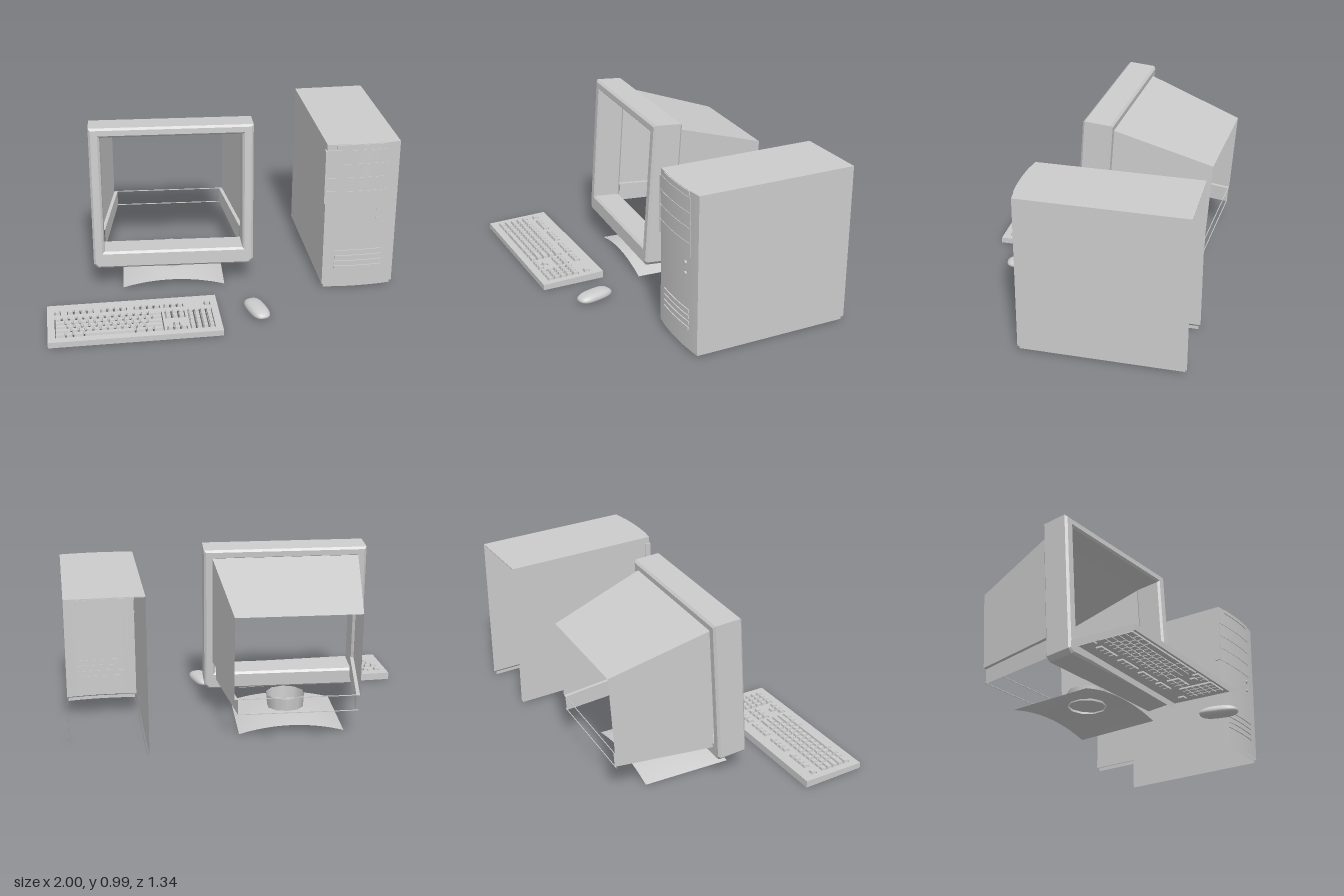
import * as THREE from 'three';
import { mergeGeometries } from 'three/addons/utils/BufferGeometryUtils.js';

const grey = new THREE.MeshStandardMaterial({ color: 0xcccccc, side: THREE.DoubleSide });

function part(parent, name, geometry) {
  const mesh = new THREE.Mesh(geometry, grey);
  mesh.name = name;
  parent.add(mesh);
  return mesh;
}

function group(parent, name) {
  const g = new THREE.Group();
  g.name = name;
  parent.add(g);
  return g;
}

// open sheet through a list of equal-length cross-sections of [x, y, z] points
function loft(sections, smooth = false) {
  const n = sections[0].length, index = [];
  for (let s = 0; s < sections.length - 1; s++)
    for (let i = 0; i < n - 1; i++) {
      const a = s * n + i, b = a + 1, c = a + n, d = c + 1;
      index.push(a, b, d, a, d, c);
    }
  let g = new THREE.BufferGeometry();
  g.setAttribute('position', new THREE.Float32BufferAttribute(sections.flat(2), 3));
  g.setIndex(index);
  if (!smooth) g = g.toNonIndexed();
  g.computeVertexNormals();
  return g;
}

function box(x0, x1, y0, y1, z0, z1) {
  return new THREE.BoxGeometry(x1 - x0, y1 - y0, z1 - z0)
    .translate((x0 + x1) / 2, (y0 + y1) / 2, (z0 + z1) / 2);
}

// plan outline [x, z] extruded between two heights
function slab(plan, y0, y1, holes = []) {
  const shape = new THREE.Shape(plan.map(([x, z]) => new THREE.Vector2(x, z)));
  for (const [a, b, c, d] of holes)
    shape.holes.push(new THREE.Path([[a, c], [a, d], [b, d], [b, c]].map(p => new THREE.Vector2(...p))));
  return new THREE.ExtrudeGeometry(shape, { depth: y1 - y0, bevelEnabled: false })
    .rotateX(Math.PI / 2).translate(0, y1, 0);
}

// ---------- tower ----------
const frontZ = x => 0.25 - 0.015 * ((x - 0.7925) / 0.2075) ** 2;
const arc = (x0, x1, dz) => Array.from({ length: 13 }, (_, i) => {
  const x = x0 + (x1 - x0) * i / 12;
  return [x, frontZ(x) + dz];
});

// raised strip that follows the curved front
const strip = (x0, x1, y0, y1, proud) =>
  slab([...arc(x0, x1, proud), ...arc(x0, x1, -0.003).reverse()], y0, y1);

function buildTower(root) {
  const tower = group(root, 'tower');
  const plan = inset => [[0.585 + inset, -0.67 + inset], ...arc(0.585 + inset, 1 - inset, -inset), [1 - inset, -0.67 + inset]];
  const walls = (p, y0, y1) => loft([y0, y1].map(y => p.map(([x, z]) => [x, y, z])));
  part(tower, 'caseWalls', walls(plan(0), 0.03, 0.91));
  part(tower, 'caseTop', slab(plan(0), 0.905, 0.91));
  part(tower, 'plinth', walls(plan(0.01), 0.01, 0.03));
  part(tower, 'brow', strip(0.64, 0.92, 0.885, 0.908, 0.005));
  for (let i = 0; i < 4; i++)
    part(tower, 'driveBay', strip(0.585, 0.93, 0.55 + i * 0.083, 0.626 + i * 0.083, 0.003));
  part(tower, 'bayLip', box(0.577, 0.586, 0.55, 0.87, 0.205, 0.24));
  for (const y of [0.45, 0.51])
    part(tower, 'button', new THREE.CylinderGeometry(0.01, 0.01, 0.012, 12)
      .rotateX(Math.PI / 2).translate(0.89, y, frontZ(0.89) + 0.004));
  for (let i = 0; i < 4; i++)
    part(tower, 'ventLouver', strip(0.65, 0.925, 0.132 + i * 0.034, 0.152 + i * 0.034, 0.006));
}

// ---------- monitor ----------
function buildMonitor(root) {
  const monitor = group(root, 'monitor');
  monitor.position.set(-0.248, 0, -0.15);
  monitor.rotation.y = -0.06;

  // arched foot
  const foot = [];
  for (let j = 0; j <= 8; j++) {
    const v = j / 4 - 1;
    foot.push(Array.from({ length: 17 }, (_, i) => {
      const u = i / 8 - 1;
      return [u * 0.295, 0.003 + 0.06 * (1 - u * u) * (1 - 0.3 * v * v), v * 0.255 - 0.02];
    }));
  }
  part(monitor, 'foot', loft(foot, true));
  part(monitor, 'neck', new THREE.CylinderGeometry(0.112, 0.105, 0.085, 10, 1, true).translate(0, 0.09, 0));

  const head = group(monitor, 'monitorHead');
  head.position.y = 0.13;
  head.rotation.x = -0.065;

  // bezel with chamfered lower corners
  const bezel = new THREE.Shape([[-0.435, 0], [0.435, 0], [0.46, 0.025], [0.46, 0.845], [-0.46, 0.845], [-0.46, 0.025]]
    .map(p => new THREE.Vector2(...p)));
  bezel.holes.push(new THREE.Path([[-0.398, 0.1], [-0.398, 0.79], [0.398, 0.79], [0.398, 0.1]]
    .map(p => new THREE.Vector2(...p))));
  part(head, 'bezel', new THREE.ExtrudeGeometry(bezel, {
    depth: 0.146, bevelSize: 0.012, bevelOffset: -0.012, bevelThickness: 0.012, bevelSegments: 1,
  }).translate(0, 0, 0.102));

  // tapering hood, open below and behind, with a stepped lower skirt
  const section = (w, top, step, low, z) => {
    const half = [[w - 0.02, low], [w - 0.02, step], [w, step], [w, top]];
    return [...half.map(([x, y]) => [-x, y, z]), ...half.reverse().map(([x, y]) => [x, y, z])];
  };
  part(head, 'hood', loft([section(0.413, 0.8, 0.17, 0.06, 0.095), section(0.34, 0.66, 0.19, 0.1, -0.465)]));
  for (const y of [0.19, 0.1])
    part(head, 'rearRail', box(-0.335, 0.335, y, y + 0.004, -0.465, -0.461));
}

// ---------- keyboard ----------
function keycap(x0, x1, z0, z1, y) {
  const g = box(x0 + 0.003, x1 - 0.003, y - 0.026, y, z0 + 0.003, z1 - 0.003);
  const p = g.attributes.position, cx = (x0 + x1) / 2, cz = (z0 + z1) / 2;
  for (let i = 0; i < p.count; i++)
    if (p.getY(i) > y - 0.01) {
      p.setX(i, p.getX(i) - Math.sign(p.getX(i) - cx) * 0.004);
      p.setZ(i, p.getZ(i) - Math.sign(p.getZ(i) - cz) * 0.004);
    }
  g.computeVertexNormals();
  return g;
}

function buildKeyboard(root) {
  const keyboard = group(root, 'keyboard');
  const deckY = z => 0.036 + 0.009 * (0.665 - z) / 0.37;
  const wells = [], keys = [];
  const ones = n => Array(n).fill(1);

  // one row of keys, given by relative widths
  const row = (x0, x1, z0, z1, widths) => {
    const unit = (x1 - x0) / widths.reduce((a, b) => a + b);
    let x = x0;
    for (const w of widths) {
      keys.push(keycap(x, x + w * unit, z0, z1, deckY(z0) + 0.01));
      x += w * unit;
    }
  };
  const block = (x0, x1, z0, z1, rows) => {
    wells.push([x0, x1, z0, z1]);
    const d = (z1 - z0) / rows.length;
    rows.forEach((r, i) => row(x0, x1, z0 + i * d, z0 + (i + 1) * d, r));
  };
  for (const [x0, x1, n] of [[-0.96, -0.923, 1], [-0.89, -0.743, 4], [-0.705, -0.557, 4], [-0.52, -0.372, 4], [-0.353, -0.242, 3], [-0.126, -0.089, 1]])
    block(x0, x1, 0.358, 0.397, [ones(n)]);
  block(-0.96, -0.368, 0.428, 0.622, [
    [...ones(13), 2], [1.5, ...ones(12), 1.5], [1.75, ...ones(11), 2.25],
    [2.25, ...ones(10), 2.75], [1.5, 1, 1.5, 7, 1.5, 1, 1.5]]);
  block(-0.353, -0.242, 0.428, 0.506, [ones(3), ones(3)]);
  block(-0.316, -0.279, 0.545, 0.582, [ones(1)]);
  block(-0.353, -0.242, 0.584, 0.622, [ones(3)]);
  block(-0.226, -0.089, 0.428, 0.622, Array(5).fill(ones(4)));

  // deck with key wells, sloping up towards the back
  const rim = [[-1, 0.295], [-1, 0.665], [-0.05, 0.665], [-0.05, 0.295]];
  const deck = slab(rim, -0.008, 0, wells);
  const p = deck.attributes.position;
  for (let i = 0; i < p.count; i++) p.setY(i, p.getY(i) + deckY(p.getZ(i)));
  deck.computeVertexNormals();
  part(keyboard, 'deck', deck);
  const loop = [...rim, rim[0]];
  part(keyboard, 'sides', loft([loop.map(([x, z]) => [x, 0.003, z]), loop.map(([x, z]) => [x, deckY(z), z])]));
  part(keyboard, 'keys', mergeGeometries(keys));
}

// ---------- mouse ----------
function buildMouse(root) {
  const body = new THREE.SphereGeometry(1, 32, 20);
  const p = body.attributes.position;
  const soft = (v, e) => Math.sign(v) * Math.abs(v) ** e;
  for (let i = 0; i < p.count; i++) {
    const x = p.getX(i), y = p.getY(i), z = p.getZ(i);
    const r = Math.hypot(x, z) || 1, k = r ** 0.75 / r;
    p.setXYZ(i, soft(x / r, 0.7) * r * k * 0.053, Math.max(0.003, 0.023 + y * (y > 0 ? 0.033 : 0.024)), soft(z / r, 0.7) * r * k * 0.109);
  }
  body.computeVertexNormals();
  const mouse = part(root, 'mouse', body);
  mouse.position.set(0.168, 0, 0.445);
  mouse.rotation.y = 0.26;
}

export function createModel() {
  const model = new THREE.Group();
  model.name = 'desktopComputer';
  buildTower(model);
  buildMonitor(model);
  buildKeyboard(model);
  buildMouse(model);
  return model;
}
